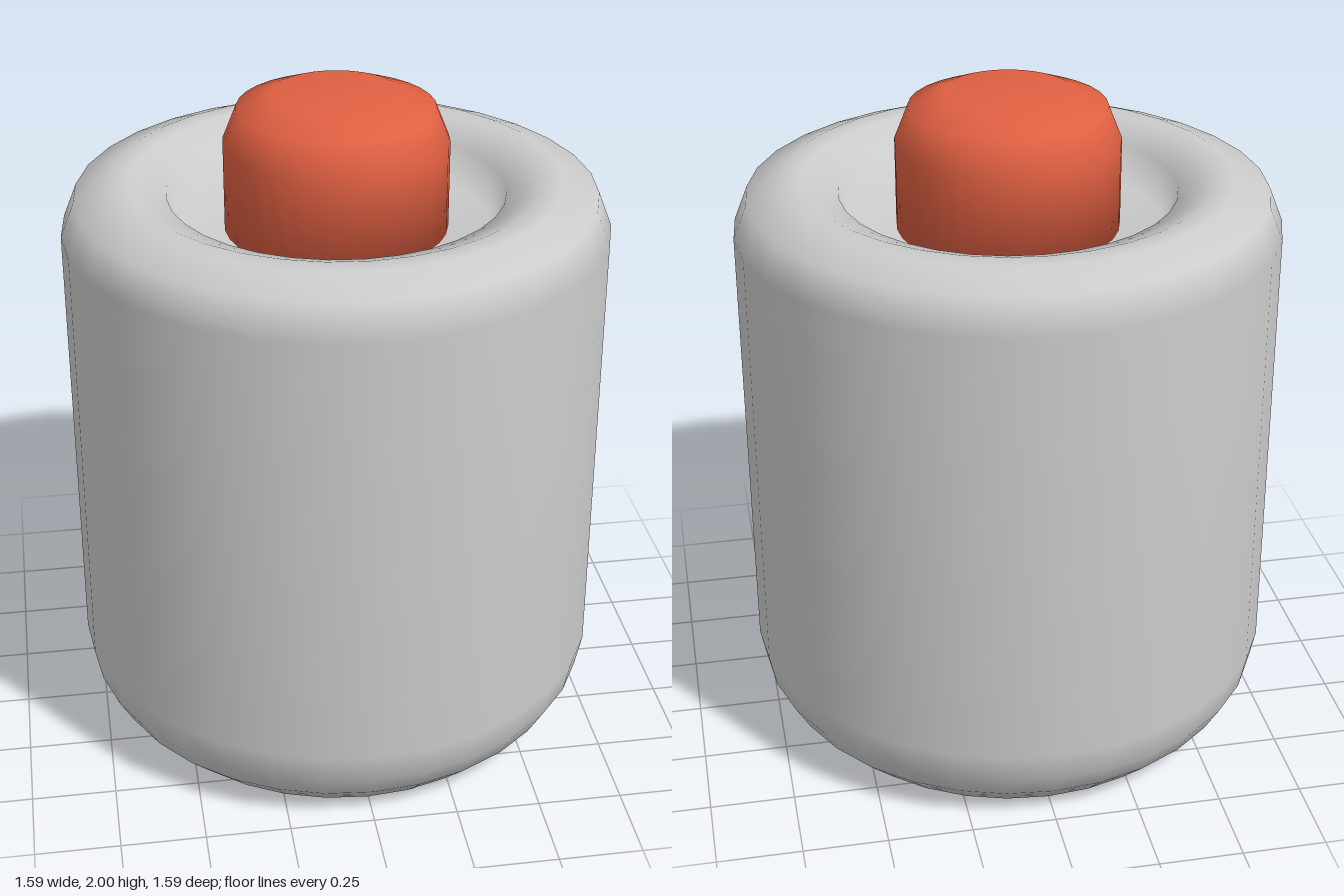
import * as THREE from 'three';

const SIDES = 32;

// Smooth turned part from [radius, height] pairs, listed bottom to top
function turned(name, color, profile) {
  const points = profile.map(([r, y]) => new THREE.Vector2(r, y));
  const mesh = new THREE.Mesh(
    new THREE.LatheGeometry(points, SIDES),
    new THREE.MeshStandardMaterial({ color })
  );
  mesh.name = name;
  return mesh;
}

export function createModel() {
  const group = new THREE.Group();
  group.name = 'pushButton';

  // Housing: rounded base, straight wall, rolled rim and sunken floor
  group.add(turned('housing', 0xcccccc, [
    [0, 0], [0.64, 0], [0.73, 0.09], [0.775, 0.17], [0.795, 0.27],
    [0.795, 1.61], [0.755, 1.71], [0.65, 1.75],
    [0.59, 1.75], [0.49, 1.71], [0.45, 1.6], [0, 1.6],
  ]));

  // Plunger: red domed cap standing in the recess
  group.add(turned('plunger', 0xe06042, [
    [0, 1.58], [0.325, 1.58], [0.325, 1.86], [0.285, 1.96], [0.185, 2], [0, 2],
  ]));

  return group;
}
